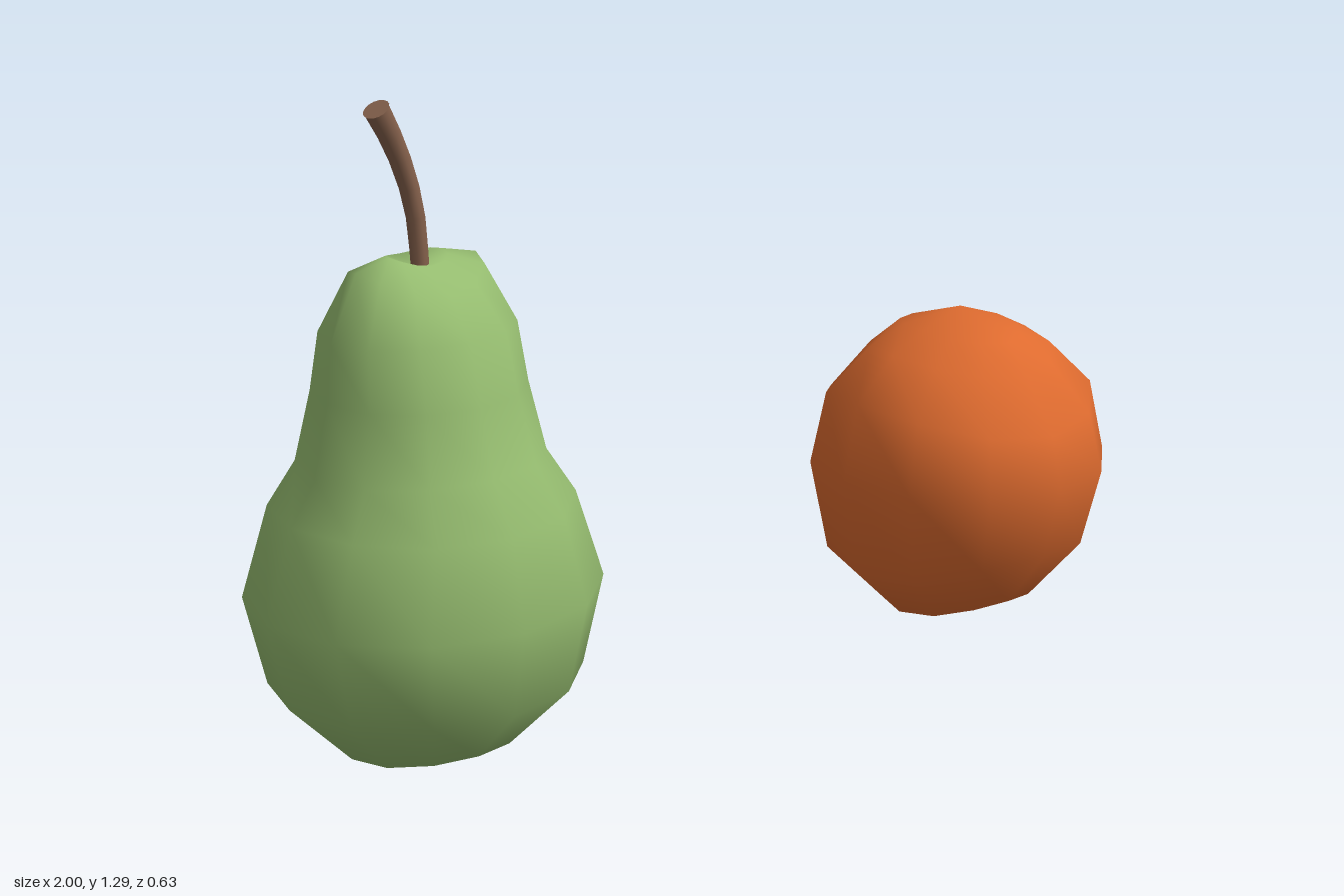
import * as THREE from 'three';
import { mergeVertices } from 'three/addons/utils/BufferGeometryUtils.js';

const paint = (name, color) => {
  const m = new THREE.MeshStandardMaterial({ color });
  m.name = name;
  return m;
};

// Smooth 12-sided fruit body. Each ring, from top to bottom, is
// [height at the sides, half width, height at front and back, half depth].
function fruitGeometry(rings) {
  const sides = 12, rows = rings.length - 1;
  const geo = new THREE.SphereGeometry(1, sides, rows);
  const pos = geo.attributes.position;
  for (let i = 0; i < pos.count; i++) {
    const [yx, rx, yz, rz] = rings[Math.floor(i / (sides + 1))];
    const a = (i % (sides + 1)) / sides * Math.PI * 2;
    const c = Math.cos(a), s = Math.sin(a);
    pos.setXYZ(i, -c * rx, yx * c * c + yz * s * s, s * rz);
  }
  geo.deleteAttribute('uv');
  geo.deleteAttribute('normal');
  const merged = mergeVertices(geo, 1e-4);
  merged.computeVertexNormals();
  return merged;
}

// Curved stalk that flares toward its capped tip
function makeStem(material) {
  const stem = new THREE.Group();
  stem.name = 'pearStem';
  const curve = new THREE.CatmullRomCurve3([
    [-0.653, 0.95, 0.006], [-0.656, 1.0, 0.006], [-0.667, 1.09, 0.008],
    [-0.703, 1.195, 0.012], [-0.751, 1.277, 0.024],
  ].map(p => new THREE.Vector3(...p)));
  const steps = 6, sides = 8;
  const geo = new THREE.TubeGeometry(curve, steps, 1, sides);
  const radius = t => 0.017 + 0.008 * t * t;
  const pos = geo.attributes.position, v = new THREE.Vector3();
  for (let i = 0; i < pos.count; i++) {
    const t = Math.floor(i / (sides + 1)) / steps;
    const centre = curve.getPointAt(t);
    v.fromBufferAttribute(pos, i).sub(centre).multiplyScalar(radius(t)).add(centre);
    pos.setXYZ(i, v.x, v.y, v.z);
  }
  const stalk = new THREE.Mesh(geo, material);
  stalk.name = 'stalk';
  const tip = new THREE.Mesh(new THREE.CircleGeometry(radius(1), sides * 2), material);
  tip.name = 'stalkTip';
  tip.position.copy(curve.getPointAt(1));
  tip.quaternion.setFromUnitVectors(new THREE.Vector3(0, 0, 1), curve.getTangentAt(1));
  stem.add(stalk, tip);
  return stem;
}

export function createModel() {
  const model = new THREE.Group();
  model.name = 'fruit';
  const green = paint('pearGreen', 0x96bd70);
  const orange = paint('orangePeel', 0xde6b2f);
  const brown = paint('stemBrown', 0x85614c);

  // Pear, with a dimpled, slightly pinched crown
  const pear = new THREE.Mesh(fruitGeometry([
    [0.97, 0, 0.97, 0],
    [0.997, 0.057, 0.985, 0.055],
    [0.98, 0.13, 0.94, 0.105],
    [0.86, 0.187, 0.865, 0.165],
    [0.75, 0.2, 0.75, 0.195],
    [0.615, 0.23, 0.625, 0.23],
    [0.535, 0.283, 0.53, 0.285],
    [0.363, 0.342, 0.36, 0.315],
    [0.19, 0.3, 0.19, 0.28],
    [0.06, 0.17, 0.075, 0.165],
    [0.015, 0, 0.015, 0],
  ]), green);
  pear.name = 'pear';
  pear.position.x = -0.658;

  // Round orange
  const round = new THREE.Mesh(fruitGeometry([
    [0.665, 0, 0.665, 0],
    [0.63, 0.105, 0.617, 0.145],
    [0.59, 0.185, 0.56, 0.2],
    [0.505, 0.28, 0.45, 0.28],
    [0.345, 0.314, 0.34, 0.307],
    [0.145, 0.278, 0.19, 0.265],
    [0.03, 0.155, 0.065, 0.165],
    [0.0, 0, 0.0, 0],
  ]), orange);
  round.name = 'orange';
  round.position.x = 0.685;

  model.add(pear, makeStem(brown), round);
  return model;
}
